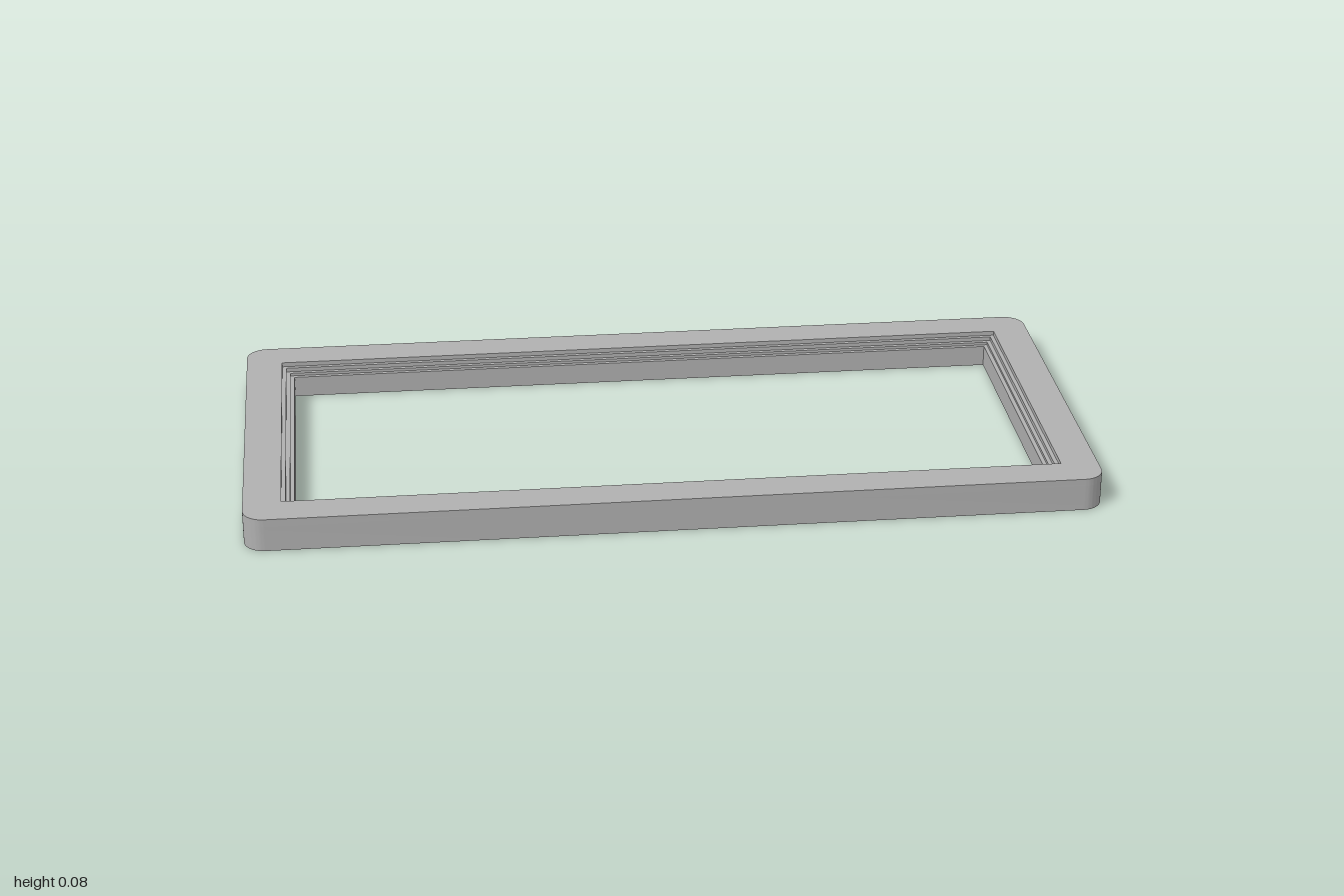
import * as THREE from 'three';
import { toCreasedNormals } from 'three/addons/utils/BufferGeometryUtils.js';

const HX = 1, HZ = 0.472; // outer half sizes

// Rectangle outline inset by d, with optional rounded corners
function outline(path, d, r) {
  const x = HX - d, z = HZ - d;
  path.moveTo(-x + r, -z);
  path.lineTo(x - r, -z);
  if (r) path.absarc(x - r, -z + r, r, -Math.PI / 2, 0);
  path.lineTo(x, z - r);
  if (r) path.absarc(x - r, z - r, r, 0, Math.PI / 2);
  path.lineTo(-x + r, z);
  if (r) path.absarc(-x + r, z - r, r, Math.PI / 2, Math.PI);
  path.lineTo(-x, -z + r);
  if (r) path.absarc(-x + r, -z + r, r, Math.PI, Math.PI * 1.5);
  path.closePath();
  return path;
}

export function createModel() {
  const group = new THREE.Group();
  const grey = new THREE.MeshStandardMaterial({ color: 0xb0b0b0 });
  grey.name = 'plain grey';

  // Rectangular ring between insets d0 and d1, from height y0 to y1
  function ring(name, d0, d1, y0, y1, r0 = 0, r1 = 0) {
    const shape = outline(new THREE.Shape(), d0, r0);
    shape.holes.push(outline(new THREE.Path(), d1, r1));
    let geo = new THREE.ExtrudeGeometry(shape, { depth: y1 - y0, bevelEnabled: false, curveSegments: 10 });
    geo.rotateX(-Math.PI / 2).translate(0, y0, 0);
    geo = toCreasedNormals(geo, 0.6);
    const mesh = new THREE.Mesh(geo, grey);
    mesh.name = name;
    group.add(mesh);
  }

  // Outer skirt and top plate, leaving a groove open underneath
  ring('outerWall', 0, 0.015, 0, 0.062, 0.05, 0.035);
  ring('topPlate', 0, 0.088, 0.062, 0.08, 0.05);

  // Inner rim, stepping down towards the opening
  ring('innerRim', 0.076, 0.118, 0, 0.052);
  ring('lowerStep', 0.076, 0.108, 0.052, 0.059);
  ring('upperStep', 0.076, 0.098, 0.059, 0.069);

  // Small stiffening fins in the groove, against the rim
  const fin = (x, z, alongX) => {
    const mesh = new THREE.Mesh(new THREE.BoxGeometry(alongX ? 0.014 : 0.005, 0.06, alongX ? 0.005 : 0.014), grey);
    mesh.position.set(x, 0.032, z);
    mesh.name = 'grooveFin';
    group.add(mesh);
  };
  for (const s of [-1, 1]) {
    for (let i = -4; i <= 4; i++) fin(i * 0.206, s * (HZ - 0.07), false);
    for (let i = -1; i <= 1; i++) fin(s * (HX - 0.07), i * 0.27, true);
  }
  return group;
}
